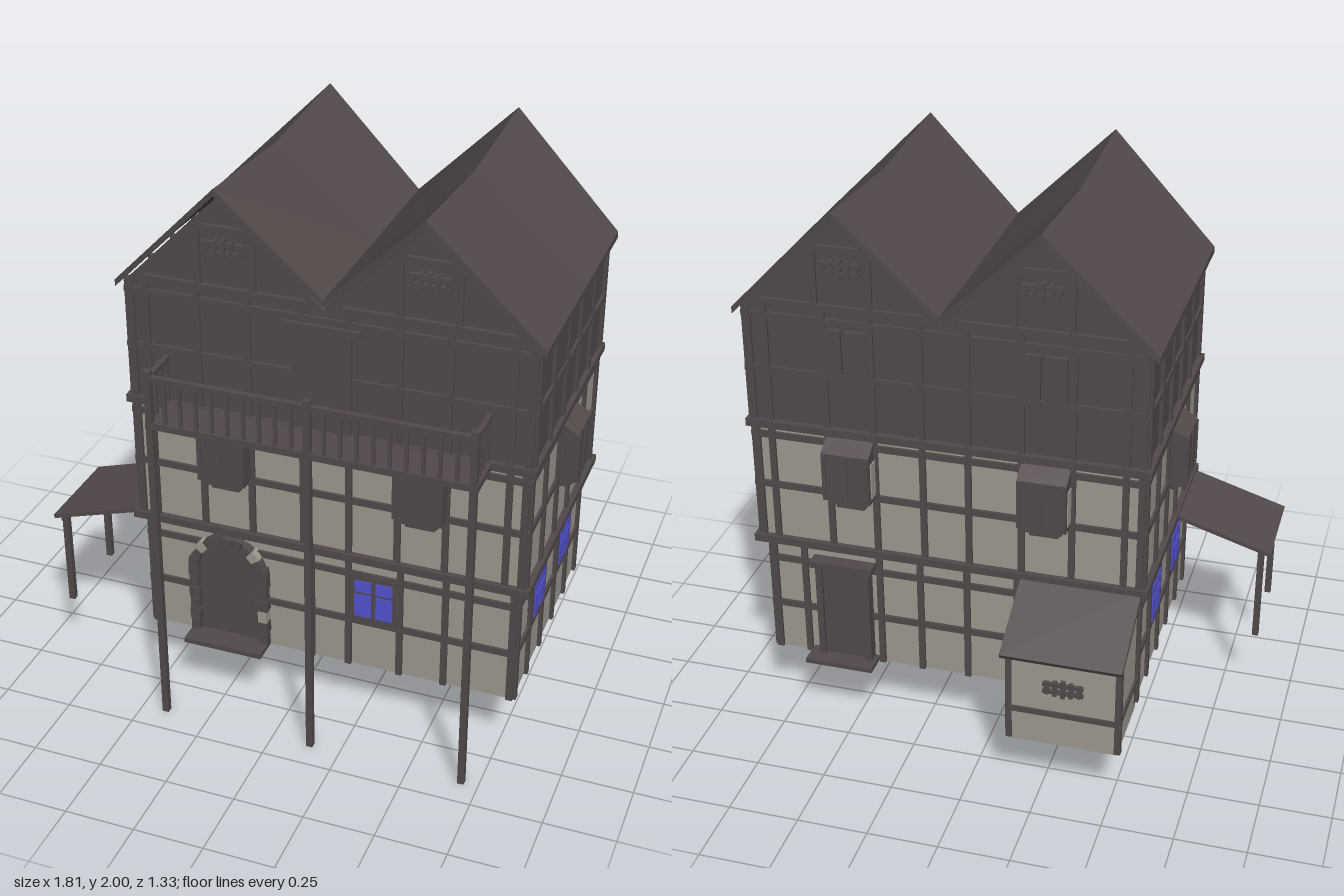
import * as THREE from 'three';

const mat = (name, color, side = THREE.FrontSide) => {
  const m = new THREE.MeshStandardMaterial({ color, side, flatShading: true });
  m.name = name;
  return m;
};
const timber = mat('dark timber', 0x534a4a, THREE.DoubleSide);
const plaster = mat('plaster', 0x9f998f, THREE.DoubleSide);
const glass = mat('blue glass', 0x5353d2);

function add(parent, name, geo, material, x = 0, y = 0, z = 0) {
  const m = new THREE.Mesh(geo, material);
  m.name = name;
  m.position.set(x, y, z);
  parent.add(m);
  return m;
}
const box = (p, name, w, h, d, x, y, z, m = timber) => add(p, name, new THREE.BoxGeometry(w, h, d), m, x, y, z);
const shape = (pts) => new THREE.Shape(pts.map(([x, y]) => new THREE.Vector2(x, y)));
const extrude = (s, depth) => new THREE.ExtrudeGeometry(s, { depth, bevelEnabled: false, curveSegments: 10 });

// beam between two points in a wall's plane
function brace(p, name, a, b, t, d, z) {
  const m = box(p, name, Math.hypot(b[0] - a[0], b[1] - a[1]), t, d, (a[0] + b[0]) / 2, (a[1] + b[1]) / 2, z);
  m.rotation.z = Math.atan2(b[1] - a[1], b[0] - a[0]);
  return m;
}

// Each side is a group whose local x runs along the wall and local z points outward.
const SIDES = {
  front: { rot: 0, sign: 1, alongX: true },
  back: { rot: Math.PI, sign: -1, alongX: true },
  left: { rot: Math.PI / 2, sign: -1, alongX: false },
  right: { rot: -Math.PI / 2, sign: 1, alongX: false },
};
const LEVELS = {
  ground: { x: [-0.525, 0.805], z: [-0.37, 0.467], y: [0.25, 0.72] },
  middle: { x: [-0.54, 0.83], z: [-0.385, 0.495], y: [0.72, 1.18] },
  top: { x: [-0.54, 0.835], z: [-0.385, 0.5], y: [1.18, 1.62] },
};

function wallSide(root, levelName, sideName, wallMat, posts, rails) {
  const { x, z, y } = LEVELS[levelName], s = SIDES[sideName];
  const cx = (x[0] + x[1]) / 2, cz = (z[0] + z[1]) / 2;
  const w = s.alongX ? x[1] - x[0] : z[1] - z[0];
  const g = new THREE.Group();
  g.name = `${levelName} ${sideName} wall`;
  g.rotation.y = s.rot;
  const dist = (s.alongX ? z[1] - z[0] : x[1] - x[0]) / 2;
  g.position.set(cx + Math.sin(s.rot) * dist, 0, cz + Math.cos(s.rot) * dist);
  root.add(g);
  const h = y[1] - y[0], my = (y[0] + y[1]) / 2;
  add(g, 'wallPanel', new THREE.PlaneGeometry(w, h), wallMat, 0, my, 0);
  const u = (v) => s.sign * (v - (s.alongX ? cx : cz));
  for (const p of posts) box(g, 'post', 0.022, h, 0.024, u(p), my, 0);
  for (const e of [-1, 1]) box(g, 'cornerPost', 0.024, h, 0.024, e * (w / 2 - 0.01), my, 0);
  for (const r of rails) box(g, 'rail', w + 0.02, 0.024, 0.02, 0, r, 0);
  return { g, u, w };
}

// blue window with a cross of mullions
function windowPanes(p, x, y) {
  box(p, 'windowFrame', 0.19, 0.185, 0.026, x, y, 0);
  for (const i of [-1, 1]) for (const j of [-1, 1])
    box(p, 'windowPane', 0.06, j < 0 ? 0.09 : 0.045, 0.006, x + i * 0.038, y + (j < 0 ? -0.028 : 0.05), 0.014, glass);
}

// closed bay with a sloping top and stepped corbel
function bay(p, x, litSide) {
  const w = 0.17;
  const geo = extrude(shape([[0, 0.945], [0.07, 0.945], [0.07, 1.125], [0, 1.165]]), w);
  geo.translate(0, 0, -w / 2).rotateY(-Math.PI / 2);
  add(p, 'bay', geo, timber, x, 0, 0);
  box(p, 'bayCorbel', 0.13, 0.022, 0.055, x, 0.934, 0.027);
  box(p, 'bayCorbel', 0.1, 0.022, 0.035, x, 0.912, 0.017);
  for (const e of [-1, 0, 1]) box(p, 'bayMullion', 0.014, 0.17, 0.006, x + e * 0.075, 1.035, 0.072);
  if (litSide) box(p, 'baySidePane', 0.004, 0.13, 0.04, x + w / 2 + 0.002, 1.03, 0.036, plaster);
}

// carved lattice vent
function vent(p, x, y, z) {
  for (const r of [-1, 1]) box(p, 'ventSlat', 0.14, 0.014, 0.016, x, y + r * 0.014, z);
  for (let i = -2; i <= 2; i++) box(p, 'ventBar', 0.014, 0.066 - Math.abs(i) * 0.01, 0.02, x + i * 0.028, y, z);
}

function gables(p, back) {
  const pts = [[-0.687, 1.6], [0.687, 1.6], [0.687, 1.62], [0.34, 1.97], [0, 1.635], [-0.34, 1.97], [-0.687, 1.62]];
  add(p, 'gableWall', new THREE.ShapeGeometry(shape(pts)), timber);
  for (const c of [-0.34, 0.34]) {
    for (const e of [-1, 1]) {
      brace(p, 'gableRake', [c + e * 0.335, 1.615], [c, 1.95], 0.026, 0.03, 0.005);
      box(p, 'gablePost', 0.022, 0.22, 0.024, c + e * 0.095, 1.73, 0);
    }
    box(p, 'gableTie', 0.64, 0.026, 0.028, c, 1.635, 0);
    box(p, 'gableCollar', 0.21, 0.022, 0.026, c, 1.845, 0);
    vent(p, c, 1.78, 0.008);
    if (back) for (const e of [-1, 1]) box(p, 'shutter', 0.075, 0.16, 0.02, c + e * 0.045, 1.48, 0.006);
  }
}

// arched entrance with a ring of stones
function archedDoor(p, x) {
  const g = new THREE.Group();
  g.name = 'archedDoor';
  g.position.x = x;
  p.add(g);
  const yc = 0.54, ri = 0.11, ro = 0.147;
  const door = shape([[-ri, 0.26], [ri, 0.26], [ri, yc]]);
  door.absarc(0, yc, ri, 0, Math.PI, false);
  add(g, 'doorLeaf', extrude(door, 0.014), timber);
  const n = 11;
  for (let i = 0; i < n; i++) {
    const a = (i + 0.04) * Math.PI / n, b = (i + 0.96) * Math.PI / n;
    const s = new THREE.Shape();
    s.absarc(0, yc, ro - (i % 2) * 0.008, a, b, false);
    s.absarc(0, yc, ri, b, a, true);
    add(g, 'archStone', extrude(s, 0.036), i === 2 || i === 8 ? plaster : timber);
  }
  for (const e of [-1, 1]) for (let i = 0; i < 6; i++)
    box(g, 'jambStone', 0.032 + (i % 2) * 0.006, 0.043, 0.036, e * 0.128, 0.29 + i * 0.046, 0.018, e > 0 && i === 2 ? plaster : timber);
  box(g, 'doorKnob', 0.012, 0.012, 0.02, 0.08, 0.43, 0.016);
  box(g, 'doorStep', 0.29, 0.018, 0.1, 0, 0.261, 0.05);
}

// twin roof: four sagging slopes with flared ridges
function roof(root) {
  const prof = [[-0.577, 1.615, 0], [-0.2, 2, 1], [0.145, 1.665, 0.1], [0.483, 2, 1], [0.863, 1.615, 0]];
  for (let i = 0; i < 4; i++) {
    const geo = new THREE.BoxGeometry(1, 1, 1, 1, 1, 2), pos = geo.attributes.position;
    for (let k = 0; k < pos.count; k++) {
      const [x, y, r] = prof[pos.getX(k) < 0 ? i : i + 1];
      const f = pos.getZ(k) * 2;
      const z = f > 0.5 ? 0.517 + 0.04 * r : f < -0.5 ? -0.423 - 0.037 * r : 0.05;
      const sag = Math.abs(f) < 0.5 ? 0.034 * r : 0;
      pos.setXYZ(k, x, y - sag - (pos.getY(k) < 0 ? 0.024 : 0), z);
    }
    geo.computeVertexNormals();
    add(root, 'roofSlope', geo, timber);
  }
}

function balcony(root) {
  const g = new THREE.Group();
  g.name = 'balcony';
  root.add(g);
  box(g, 'balconyFloor', 1.13, 0.024, 0.165, 0.142, 1.18, 0.58);
  for (const x of [-0.41, 0.14, 0.69]) box(g, 'balconyPost', 0.023, 1.38, 0.023, x, 0.69, 0.651);
  box(g, 'handRail', 1.12, 0.018, 0.02, 0.14, 1.353, 0.651);
  for (let i = 1; i < 20; i++) box(g, 'baluster', 0.012, 0.16, 0.012, -0.41 + i * 0.055, 1.27, 0.651);
  for (const x of [-0.41, 0.69]) {
    box(g, 'sideRail', 0.018, 0.018, 0.15, x, 1.353, 0.575);
    for (const z of [0.51, 0.555, 0.6]) box(g, 'baluster', 0.012, 0.16, 0.012, x, 1.27, z);
  }
}

// lean-to on the back
function shed(root) {
  const g = new THREE.Group();
  g.name = 'shed';
  root.add(g);
  const side = shape([[0.36, 0.22], [0.64, 0.22], [0.64, 0.575], [0.36, 0.71]]);
  for (const x of [-0.525, -0.145]) {
    add(g, 'shedSide', new THREE.ShapeGeometry(side), plaster, x).rotation.y = Math.PI / 2;
    box(g, 'shedPost', 0.022, 0.35, 0.022, x, 0.4, -0.633);
    box(g, 'shedRail', 0.018, 0.02, 0.27, x, 0.35, -0.505);
  }
  add(g, 'shedBack', new THREE.PlaneGeometry(0.38, 0.355), plaster, -0.335, 0.3975, -0.64);
  for (const y of [0.35, 0.565]) box(g, 'shedRail', 0.38, 0.02, 0.02, -0.335, y, -0.638);
  vent(g, -0.335, 0.46, -0.645);
  const r = box(g, 'shedRoof', 0.42, 0.018, 0.325, -0.33, 0.643, -0.523);
  r.rotation.x = -Math.atan2(0.145, 0.285);
}

function porch(root) {
  const g = new THREE.Group();
  g.name = 'sidePorch';
  root.add(g);
  brace(g, 'porchRoof', [-0.9, 0.61], [-0.54, 0.72], 0.014, 0.35, 0.31);
  for (const z of [0.16, 0.46]) box(g, 'porchPost', 0.022, 0.36, 0.022, -0.865, 0.43, z);
  box(g, 'porchBeam', 0.02, 0.02, 0.34, -0.865, 0.605, 0.31);
}

export function createModel() {
  const root = new THREE.Group();
  root.name = 'timberHouse';
  const sidePosts = [0.31, 0.14, -0.03, -0.2];
  const longPosts = [-0.475, -0.295, -0.12, 0.065, 0.225, 0.395, 0.56, 0.765];

  for (const side of Object.keys(SIDES)) {
    const long = SIDES[side].alongX;
    // ground floor
    const gPosts = side === 'front' ? [0.08, 0.215, 0.4, 0.56] : long ? [-0.1, 0.08, 0.25, 0.4, 0.68] : sidePosts;
    const ground = wallSide(root, 'ground', side, plaster, gPosts, [0.44, 0.63]);
    if (side === 'front') {
      archedDoor(ground.g, ground.u(-0.223));
      windowPanes(ground.g, ground.u(0.308), 0.54);
    } else if (side === 'back') {
      const x = ground.u(0.53);
      box(ground.g, 'backDoor', 0.16, 0.37, 0.03, x, 0.445, 0.01);
      for (const e of [-1, 1]) box(ground.g, 'doorJamb', 0.022, 0.38, 0.045, x + e * 0.088, 0.45, 0.02);
      box(ground.g, 'doorLintel', 0.23, 0.024, 0.06, x, 0.65, 0.024);
      box(ground.g, 'doorStep', 0.25, 0.016, 0.095, x - 0.01, 0.262, 0.045);
    } else {
      for (const z of [0.222, -0.118]) windowPanes(ground.g, ground.u(z), 0.542);
    }
    // middle floor
    const mid = wallSide(root, 'middle', side, plaster, long ? longPosts : sidePosts, [0.94, 1.135]);
    for (const c of long ? [-0.205, 0.48] : [0.06]) bay(mid.g, mid.u(c), side === 'back');
    box(mid.g, 'floorBeam', mid.w + 0.045, 0.028, 0.04, 0, 0.72, 0.002);
    box(mid.g, 'floorBeam', mid.w + 0.045, 0.028, 0.04, 0, 1.18, 0.002);
    // top floor
    const top = wallSide(root, 'top', side, timber, long ? longPosts : sidePosts, [1.385, 1.585]);
    if (long) gables(top.g, side === 'back');
    if (side === 'front') {
      box(top.g, 'balconyDoor', 0.2, 0.36, 0.026, top.u(0.135), 1.37, 0.002);
      box(top.g, 'balconyLintel', 0.26, 0.022, 0.034, top.u(0.135), 1.56, 0.002);
    }
    if (!long) for (const z of [0.225, -0.115]) box(top.g, 'shutter', 0.12, 0.15, 0.018, top.u(z), 1.485, 0);
  }
  roof(root);
  balcony(root);
  shed(root);
  porch(root);
  return root;
}
